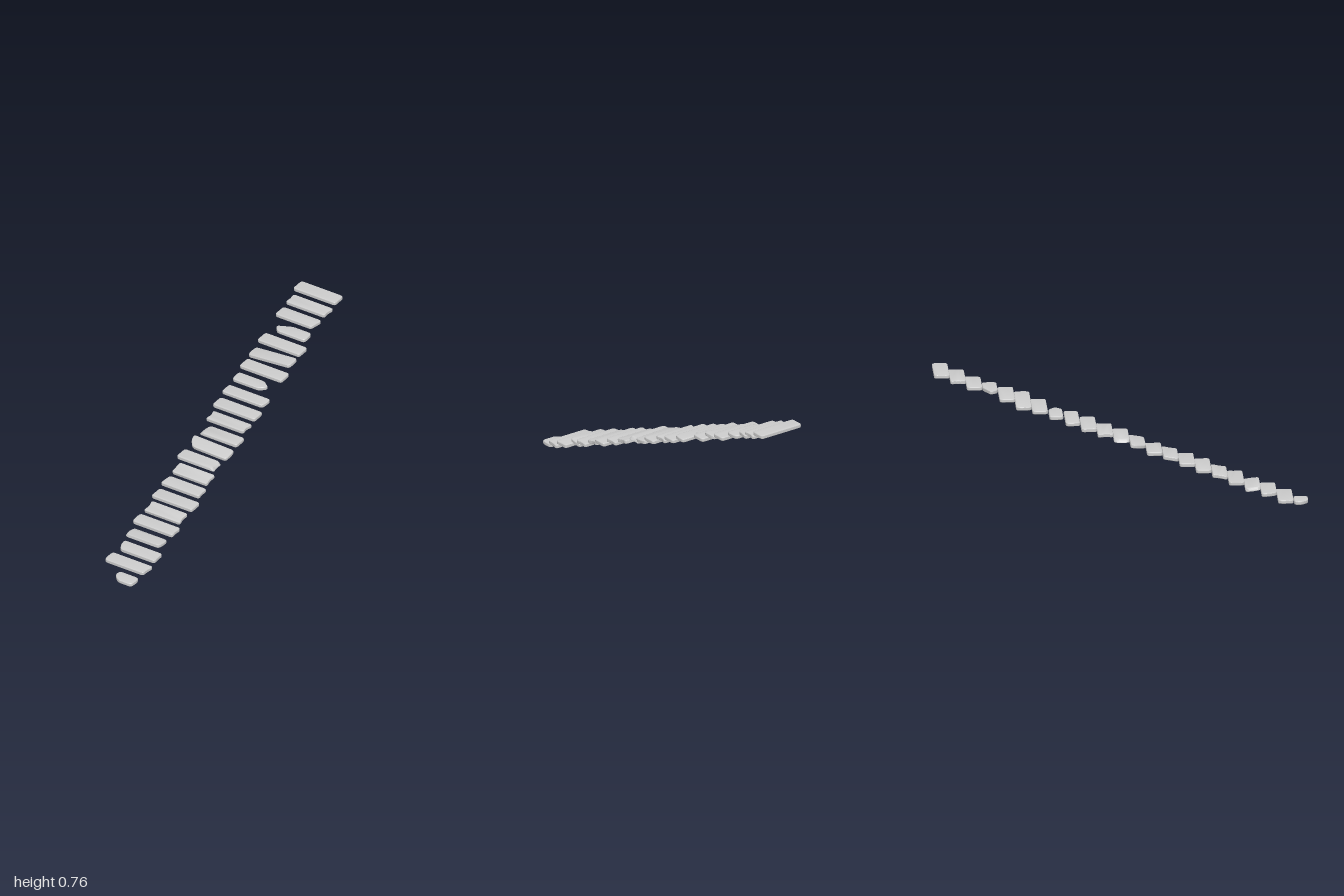
import * as THREE from 'three';
import { toCreasedNormals } from 'three/addons/utils/BufferGeometryUtils.js';

const THICK = 0.02, DEPTH = 0.083, BEVEL = 0.005;

// Wear of each slab, bottom to top. l / r: x of the left-hand and right-hand
// ends in plan at the back, middle and front; slantL / slantR: how far the top
// of an end leans inward; pitch / roll: loose slabs; depth: narrow slabs.
const SLABS = [
  { l: [-0.03, -0.035, 0.005], r: [0.09, 0.095, 0.088], depth: 0.076 },
  { l: [-0.135, -0.138, -0.133], r: [0.122, 0.112, 0.112] },
  { l: [-0.118, -0.112, -0.09], r: [0.125, 0.123, 0.127] },
  { l: [-0.122, -0.127, -0.118], r: [0.098, 0.1, 0.096], pitch: -0.12, slantL: 0.01 },
  { l: [-0.13, -0.133, -0.128], r: [0.127, 0.121, 0.127] },
  { l: [-0.115, -0.103, -0.115], r: [0.118, 0.107, 0.118], pitch: 0.17 },
  { l: [-0.121, -0.121, -0.123] },
  { l: [-0.114, -0.117, -0.12], r: [0.122, 0.118, 0.125] },
  { l: [-0.107, -0.105, -0.107], r: [0.12, 0.11, 0.118], pitch: 0.17 },
  { r: [0.104, 0.098, 0.108], slantR: 0.016 },
  { l: [-0.13, -0.12, -0.088], r: [0.125, 0.127, 0.122], pitch: 0.15, roll: -0.035 },
  { l: [-0.102, -0.107, -0.105], slantL: 0.02 },
  { l: [-0.125, -0.108, -0.12], r: [0.127, 0.113, 0.122] },
  {},
  { r: [0.13, 0.13, 0.124], depth: 0.076 },
  { l: [-0.126, -0.128, -0.122], r: [0.035, 0.082, 0.045], depth: 0.074 },
  {},
  { l: [-0.135, -0.138, -0.133], r: [0.127, 0.13, 0.127], roll: 0.085 },
  {},
  { l: [-0.01, -0.095, -0.065], r: [0.105, 0.11, 0.108], depth: 0.078 },
  { r: [0.112, 0.104, 0.096] },
  { l: [-0.127, -0.118, -0.125], r: [0.13, 0.119, 0.125] },
  {},
];

// Closed outline with every corner rounded
function roundedOutline(points, radius) {
  const shape = new THREE.Shape();
  const n = points.length;
  points.forEach((p, i) => {
    const toward = (q) => {
      const reach = Math.min(radius, p.distanceTo(q) * 0.45);
      return p.clone().add(q.clone().sub(p).setLength(reach));
    };
    const a = toward(points[(i + n - 1) % n]);
    const b = toward(points[(i + 1) % n]);
    if (i === 0) shape.moveTo(a.x, a.y);
    else shape.lineTo(a.x, a.y);
    shape.quadraticCurveTo(p.x, p.y, b.x, b.y);
  });
  shape.closePath();
  return shape;
}

function slabGeometry({ l = [-0.133, -0.133, -0.133], r = [0.135, 0.135, 0.135],
  depth = DEPTH, slantL = 0, slantR = 0 }) {
  const h = depth / 2;
  const rows = [h, 0, -h]; // back, middle, front
  const left = l.map((x, i) => new THREE.Vector2(x, rows[i]));
  const right = r.map((x, i) => new THREE.Vector2(x, rows[i]));
  const geo = new THREE.ExtrudeGeometry(roundedOutline([...left, ...right.reverse()], 0.018), {
    depth: THICK - 2 * BEVEL, bevelThickness: BEVEL, bevelSize: BEVEL,
    bevelOffset: -BEVEL, bevelSegments: 3, curveSegments: 5,
  });
  geo.rotateX(-Math.PI / 2).translate(0, BEVEL - THICK / 2, 0);

  // Lean broken ends inward toward the top
  const pos = geo.attributes.position;
  for (let i = 0; i < pos.count; i++) {
    const t = pos.getY(i) / THICK + 0.5, x = pos.getX(i);
    if (x < -0.05) pos.setX(i, x + slantL * t);
    if (x > 0.05) pos.setX(i, x - slantR * t);
  }
  return toCreasedNormals(geo, 0.7);
}

export function createModel() {
  const group = new THREE.Group();
  group.name = 'floatingStairs';
  const material = new THREE.MeshStandardMaterial({ color: 0xcccccc });

  // Straight flight of separate slabs climbing from front to back
  SLABS.forEach((slab, i) => {
    const step = new THREE.Mesh(slabGeometry(slab), material);
    step.name = `step${i + 1}`;
    step.position.set(0, 0.011 + i * 0.03364, 0.958 - i * 0.0871);
    step.rotation.set(slab.pitch || 0, 0, slab.roll || 0);
    group.add(step);
  });
  return group;
}
